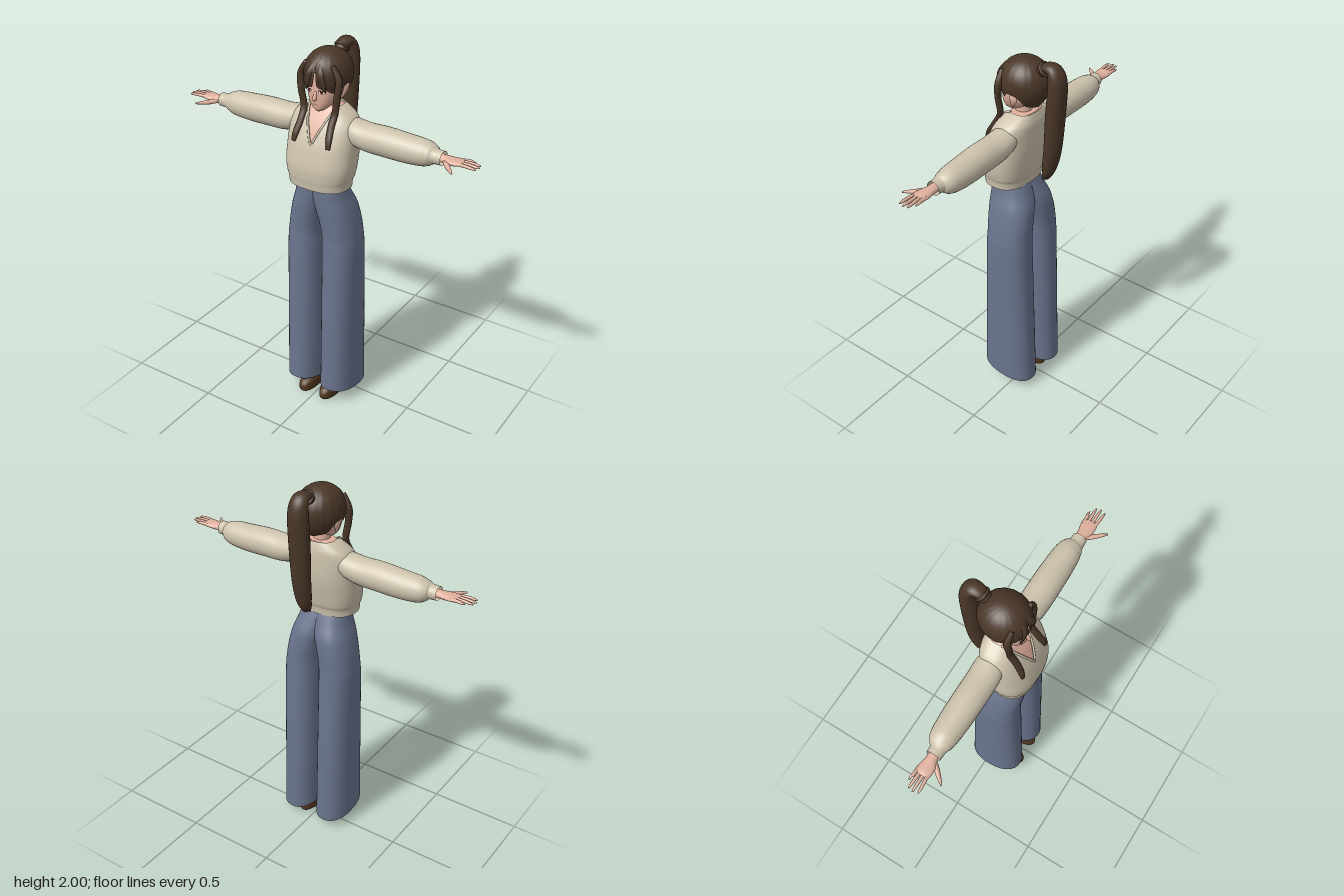
import * as THREE from 'three';
import { mergeVertices } from 'three/addons/utils/BufferGeometryUtils.js';

// Catmull-Rom smoothing of a short table of profile rows
function smooth(rows, count) {
  const last = rows.length - 1;
  return Array.from({ length: count + 1 }, (_, k) => {
    const t = (k / count) * last, i = Math.min(Math.floor(t), last - 1), f = t - i;
    const a = rows[Math.max(i - 1, 0)], b = rows[i], c = rows[i + 1], d = rows[Math.min(i + 2, last)];
    return b.map((p, j) => p + 0.5 * f * (c[j] - a[j]
      + f * (2 * a[j] - 5 * p + 4 * c[j] - d[j] + f * (3 * (p - c[j]) + d[j] - a[j]))));
  });
}

// Skin rings of points, counter-clockwise about the direction they advance in
function loft(rings, { closed = true, caps = false } = {}) {
  const n = rings[0].length, pos = [], index = [];
  rings.forEach((r) => r.forEach((p) => pos.push(p.x, p.y, p.z)));
  for (let i = 0; i < rings.length - 1; i++) {
    for (let j = 0; j < (closed ? n : n - 1); j++) {
      const k = (j + 1) % n, a = i * n + j, b = i * n + k;
      index.push(a, b, b + n, a, b + n, a + n);
    }
  }
  if (caps) {
    [0, rings.length - 1].forEach((row) => {
      const c = new THREE.Vector3();
      rings[row].forEach((p) => c.addScaledVector(p, 1 / n));
      const id = pos.push(c.x, c.y, c.z) / 3 - 1;
      for (let j = 0; j < n; j++) {
        const a = row * n + j, b = row * n + (j + 1) % n;
        index.push(id, row ? a : b, row ? b : a);
      }
    });
  }
  let g = new THREE.BufferGeometry();
  g.setAttribute('position', new THREE.Float32BufferAttribute(pos, 3));
  g.setIndex(index);
  g = mergeVertices(g, 1e-5);
  g.computeVertexNormals();
  return g;
}

// Horizontal superellipse ring starting at the front; gap leaves it open there
function ring(cx, y, rx, zb, zf, e = 2, seg = 36, gap = 0, tilt = 0) {
  const pw = (v) => Math.sign(v) * Math.abs(v) ** (2 / e);
  const count = gap === null ? seg : seg + 1;
  return Array.from({ length: count }, (_, i) => {
    const u = (gap || 0) + (2 * Math.PI - 2 * (gap || 0)) * (i / seg);
    const z = (zf + zb) / 2 + ((zf - zb) / 2) * pw(Math.cos(u));
    return new THREE.Vector3(cx + rx * pw(Math.sin(u)), y + tilt * z, z);
  });
}

// Sweep ellipses along rows of [x, y, z, halfWidth, halfDepth]; width lies along ref
function sweep(rows, ref, { count = 24, seg = 16, caps = true } = {}) {
  const s = smooth(rows, count), at = (i) => new THREE.Vector3(s[i][0], s[i][1], s[i][2]);
  return loft(s.map((r, i) => {
    const t = at(Math.min(i + 1, count)).sub(at(Math.max(i - 1, 0))).normalize();
    const side = ref.clone().addScaledVector(t, -t.dot(ref)).normalize();
    const up = t.clone().cross(side);
    return Array.from({ length: seg }, (_, j) => {
      const a = (j / seg) * Math.PI * 2;
      return at(i).addScaledVector(side, r[3] * Math.cos(a)).addScaledVector(up, r[4] * Math.sin(a));
    });
  }), { caps });
}

const X = new THREE.Vector3(1, 0, 0), Z = new THREE.Vector3(0, 0, 1);

export function createModel() {
  const model = new THREE.Group();
  const material = (name, color, side = THREE.FrontSide) => {
    const m = new THREE.MeshStandardMaterial({ color, side });
    m.name = name;
    return m;
  };
  const skin = material('skin', 0xdfb09c);
  const hair = material('brown hair', 0x4a3728, THREE.DoubleSide);
  const knit = material('cream knit', 0xcdc3ad, THREE.DoubleSide);
  const denim = material('blue denim', 0x6a748d, THREE.DoubleSide);
  const leather = material('brown leather', 0x50351f);
  const white = material('eye white', 0xe6dcd6);
  const iris = material('dark brown', 0x4a2a24);
  const lip = material('lip', 0xb97a70);
  const add = (name, geometry, mat) => {
    const m = new THREE.Mesh(geometry, mat);
    m.name = name;
    model.add(m);
    return m;
  };

  // Sweater body: [y, half width, back z, front z], cut open in a V at the neck
  const body = smooth([
    [1.305, .163, -.02, .208], [1.34, .166, -.024, .212], [1.365, .175, -.034, .215],
    [1.42, .184, -.045, .215], [1.49, .186, -.057, .2], [1.55, .186, -.062, .182],
    [1.62, .182, -.062, .15], [1.665, .16, -.06, .122], [1.695, .12, -.052, .1], [1.715, .082, -.045, .085],
  ], 54);
  const bodyRings = body.map(([y, rx, zb, zf]) => {
    const w = Math.max(0, (y - 1.535) * .43);
    return ring(0, y, rx, zb, zf, 2.5, 56, Math.asin(Math.min(.95, w / rx) ** 1.25));
  });
  add('sweaterBody', loft(bodyRings, { closed: false }), knit);
  add('chest', loft(body.filter((r) => r[0] > 1.48)
    .map(([y, rx, zb, zf]) => ring(0, y - .004, rx - .012, zb + .012, zf - .01, 2.5, 40, null)), { caps: true }), skin);

  // Neck and head: [y, half width, back z, front z]
  add('neck', loft([[1.64, .05, -.02, .08], [1.69, .042, -.012, .075], [1.78, .042, -.012, .075]]
    .map(([y, rx, zb, zf]) => ring(0, y, rx, zb, zf, 2, 24, null))), skin);
  add('head', loft(smooth([
    [1.695, .014, .085, .12], [1.71, .036, .045, .13], [1.74, .062, 0, .135], [1.78, .081, -.05, .137],
    [1.83, .088, -.075, .135], [1.9, .088, -.075, .125], [1.95, .05, -.04, .08],
  ], 30).map(([y, rx, zb, zf]) => ring(0, y, rx, zb, zf, 2.3, 32, null)), { caps: true }), skin);
  add('nose', sweep([[0, 1.805, .132, .005, .004], [0, 1.78, .141, .008, .008],
    [0, 1.766, .146, .01, .01], [0, 1.758, .138, .006, .004]], X, { count: 10, seg: 10 }), skin);
  const mouth = add('mouth', new THREE.CircleGeometry(1, 16), lip);
  mouth.scale.set(.016, .004, 1);
  mouth.position.set(0, 1.735, .137);

  // Hair cap with a fringe parted in the middle and a longer nape
  const hem = [[0, 1.92], [.1, 1.822], [.5, 1.812], [.75, 1.79], [1.1, 1.8], [1.4, 1.835], [1.8, 1.83], [2.2, 1.77], [3.2, 1.745]];
  const hemAt = (u) => {
    const i = Math.max(1, hem.findIndex((h) => h[0] >= u)), [u0, y0] = hem[i - 1], [u1, y1] = hem[i];
    return THREE.MathUtils.lerp(y0, y1, (u - u0) / (u1 - u0));
  };
  const capRings = Array.from({ length: 25 }, (_, k) => Array.from({ length: 72 }, (_, j) => {
    const u = (j / 72) * Math.PI * 2, low = hemAt(Math.min(u, Math.PI * 2 - u));
    const y = 1.99 - (1.99 - low) * (1 - Math.sin((k / 24) * Math.PI / 2));
    const h = y > 1.87 ? Math.sqrt(Math.max(0, 1 - ((y - 1.87) / .12) ** 2)) : 1 - .45 * ((1.87 - y) / .13) ** 2;
    const r = h * (1 + .008 * Math.cos(u * 18));
    return new THREE.Vector3(.12 * r * Math.sin(u), y, .02 + .13 * r * Math.cos(u));
  }));
  add('hairCap', loft(capRings), hair);

  // Ponytail, its tie and loose tips
  add('ponytail', sweep([
    [0, 1.935, -.07, .03, .03], [0, 1.972, -.105, .036, .022], [0, 1.963, -.15, .045, .034],
    [0, 1.9, -.168, .054, .043], [0, 1.75, -.16, .056, .046], [0, 1.55, -.147, .05, .043],
    [0, 1.43, -.128, .042, .034], [0, 1.365, -.112, .02, .016],
  ], X, { count: 50, seg: 24 }), hair);
  const tie = add('hairTie', new THREE.TorusGeometry(.032, .009, 8, 24), hair);
  tie.position.set(0, 1.958, -.098);
  tie.rotation.x = .7;
  for (const x of [-.024, 0, .024]) {
    add('ponytailTip', sweep([[x, 1.46, -.13, .014, .02], [x * 1.1, 1.4, -.12, .013, .016],
      [x * .8, 1.345 + Math.abs(x) * .4, -.102, .002, .002]], X, { count: 10, seg: 8 }), hair);
  }

  // Everything mirrored: s = 1 is the model's left
  for (const s of [1, -1]) {
    const side = s > 0 ? 'left' : 'right';
    const limb = (name, rows, ref, mat, opt) =>
      add(side + name, sweep(rows.map(([x, ...r]) => [s * x, ...r]), ref, opt), mat);

    // Face details
    const plate = (name, x, y, z, w, h, mat) => {
      const m = add(side + name, new THREE.CircleGeometry(1, 20), mat);
      m.scale.set(w, h, 1);
      m.position.set(s * x, y, z);
      m.rotation.y = s * .3;
    };
    plate('Eye', .037, 1.803, .136, .019, .008, white);
    plate('Iris', .036, 1.803, .1375, .008, .008, iris);
    plate('Lash', .037, 1.811, .138, .021, .003, iris);
    limb('Ear', [[.082, 1.755, .035, .006, .004], [.092, 1.78, .025, .015, .008],
      [.1, 1.81, .015, .022, .009], [.1, 1.835, .015, .006, .004]], Z, skin, { count: 12, seg: 12 });

    // Long front lock
    limb('HairLock', [
      [.075, 1.93, .1, .012, .012], [.108, 1.865, .098, .018, .018], [.104, 1.79, .105, .018, .016],
      [.09, 1.7, .104, .018, .014], [.088, 1.64, .135, .018, .013], [.096, 1.58, .17, .017, .011], [.101, 1.54, .184, .012, .006],
    ], X, hair, { count: 36, seg: 12 });
    limb('FringeStrand', [[.012, 1.955, .1, .008, .008], [.03, 1.9, .142, .018, .008],
      [.045, 1.85, .143, .018, .007], [.055, 1.805, .134, .003, .003]], X, hair, { count: 16, seg: 10 });

    // Collar edge along the V neck
    const edge = bodyRings.filter((r) => r[0].y > 1.54).map((r) => r[s > 0 ? 0 : r.length - 1]);
    add(side + 'Collar', new THREE.TubeGeometry(new THREE.CatmullRomCurve3(edge), 24, .006, 8), knit);

    // Sleeve with gathered cuff
    limb('Sleeve', [
      [.1, 1.625, .03, .06, .05], [.17, 1.6, .034, .074, .064], [.24, 1.587, .036, .076, .071],
      [.34, 1.586, .036, .076, .074], [.46, 1.582, .035, .073, .071], [.55, 1.583, .036, .066, .064],
      [.59, 1.585, .042, .054, .05], [.61, 1.585, .045, .04, .037], [.65, 1.585, .046, .037, .035],
    ], Z, knit, { count: 48, seg: 28, caps: false });

    // Hand
    limb('Palm', [[.6, 1.585, .046, .026, .022], [.66, 1.585, .046, .027, .019], [.7, 1.585, .05, .037, .017],
      [.735, 1.588, .048, .04, .013], [.755, 1.589, .046, .036, .008]], Z, skin);
    [[.082, .83], [.057, .838], [.034, .832], [.014, .8]].forEach(([z, tip], i) => {
      const root = .074 - i * .018;
      limb('Finger' + (i + 1), [[.725, 1.588, root, .009, .009], [.77, 1.591, (root + z) / 2, .0085, .0085],
        [tip - .02, 1.59, z, .007, .007], [tip, 1.588, z, .003, .003]], Z, skin, { count: 12, seg: 8 });
    });
    limb('Thumb', [[.665, 1.58, .06, .013, .013], [.695, 1.575, .095, .013, .012],
      [.722, 1.575, .125, .009, .009], [.744, 1.575, .15, .004, .004]], X, skin, { count: 12, seg: 10 });

    // Wide trouser leg: [y, inner x, outer x, back z, front z]
    add(side + 'TrouserLeg', loft(smooth([
      [.062, .008, .205, -.11, .2], [.35, .008, .204, -.1, .19], [.65, .008, .204, -.09, .18],
      [.93, .008, .203, -.08, .17], [1.02, .005, .196, -.076, .166], [1.1, -.008, .183, -.074, .17],
      [1.18, -.03, .164, -.064, .175], [1.25, -.05, .14, -.036, .176], [1.33, -.07, .122, -.002, .175],
    ], 56).map(([y, a, b, zb, zf]) => ring(s * (a + b) / 2, y, (b - a) / 2, zb, zf, 2.3, 40, null,
      y < .5 ? .15 * (1 - y / .5) : 0))), denim);

    // Ankle and shoe
    limb('Ankle', [[.066, .06, .0, .03, .035], [.07, .16, -.005, .03, .034], [.085, .4, .02, .045, .048]], X, skin);
    add(side + 'Shoe', loft(smooth([
      [0, .045, -.058, .19], [.012, .048, -.062, .197], [.035, .048, -.06, .195], [.058, .047, -.057, .175],
      [.078, .044, -.053, .125], [.095, .038, -.048, .07],
    ], 20).map(([y, rx, zb, zf]) => ring(s * .067, y, rx, zb, zf, 2.4, 28, null)), { caps: true }), leather);
  }
  return model;
}
